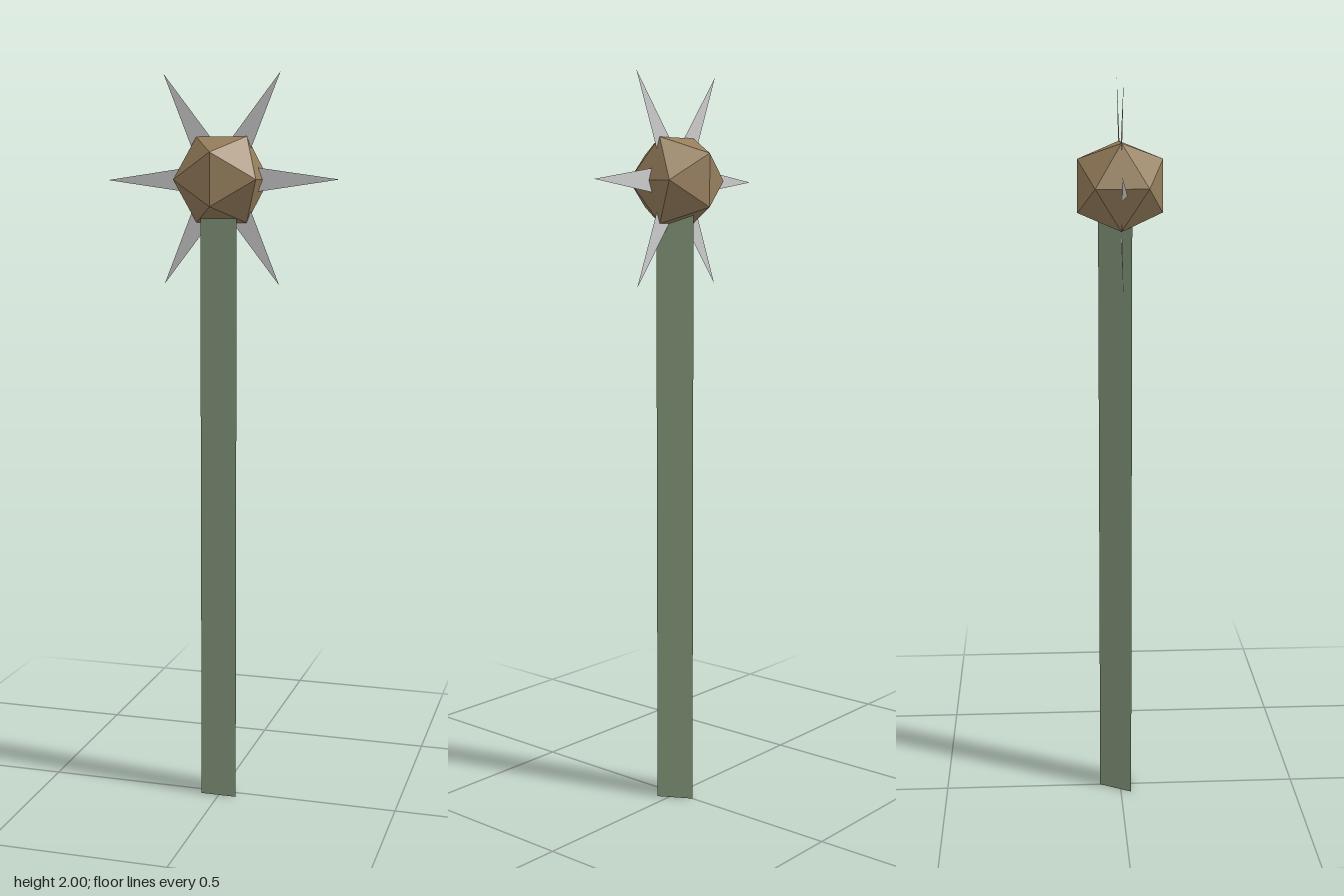
import * as THREE from 'three';

const HEAD_Y = 1.72; // centre of the flower head

export function createModel() {
  const group = new THREE.Group();
  const add = (name, geometry, color, options = {}) => {
    const material = new THREE.MeshStandardMaterial({ color, flatShading: true, ...options });
    const mesh = new THREE.Mesh(geometry, material);
    mesh.name = name;
    group.add(mesh);
    return mesh;
  };

  // Three-sided stem, flat side to the front, ending inside the head
  const stem = add('stem', new THREE.CylinderGeometry(0.058, 0.058, HEAD_Y, 3), 0x83967a);
  stem.rotation.y = Math.PI;
  stem.position.y = HEAD_Y / 2;

  // Faceted flower head
  const head = add('flowerHead', new THREE.IcosahedronGeometry(0.1325, 0), 0x967e5c);
  head.position.y = HEAD_Y;

  // Six thin pointed petals around the head
  const outline = new THREE.Shape([
    new THREE.Vector2(0.06, -0.037),
    new THREE.Vector2(0.32, 0),
    new THREE.Vector2(0.06, 0.037),
  ]);
  const petalGeometry = new THREE.ShapeGeometry(outline);
  for (let i = 0; i < 6; i++) {
    const petal = add(`petal${i + 1}`, petalGeometry, 0xcccccc, { side: THREE.DoubleSide });
    petal.position.y = HEAD_Y;
    petal.rotation.z = (i * Math.PI) / 3;
  }

  return group;
}
